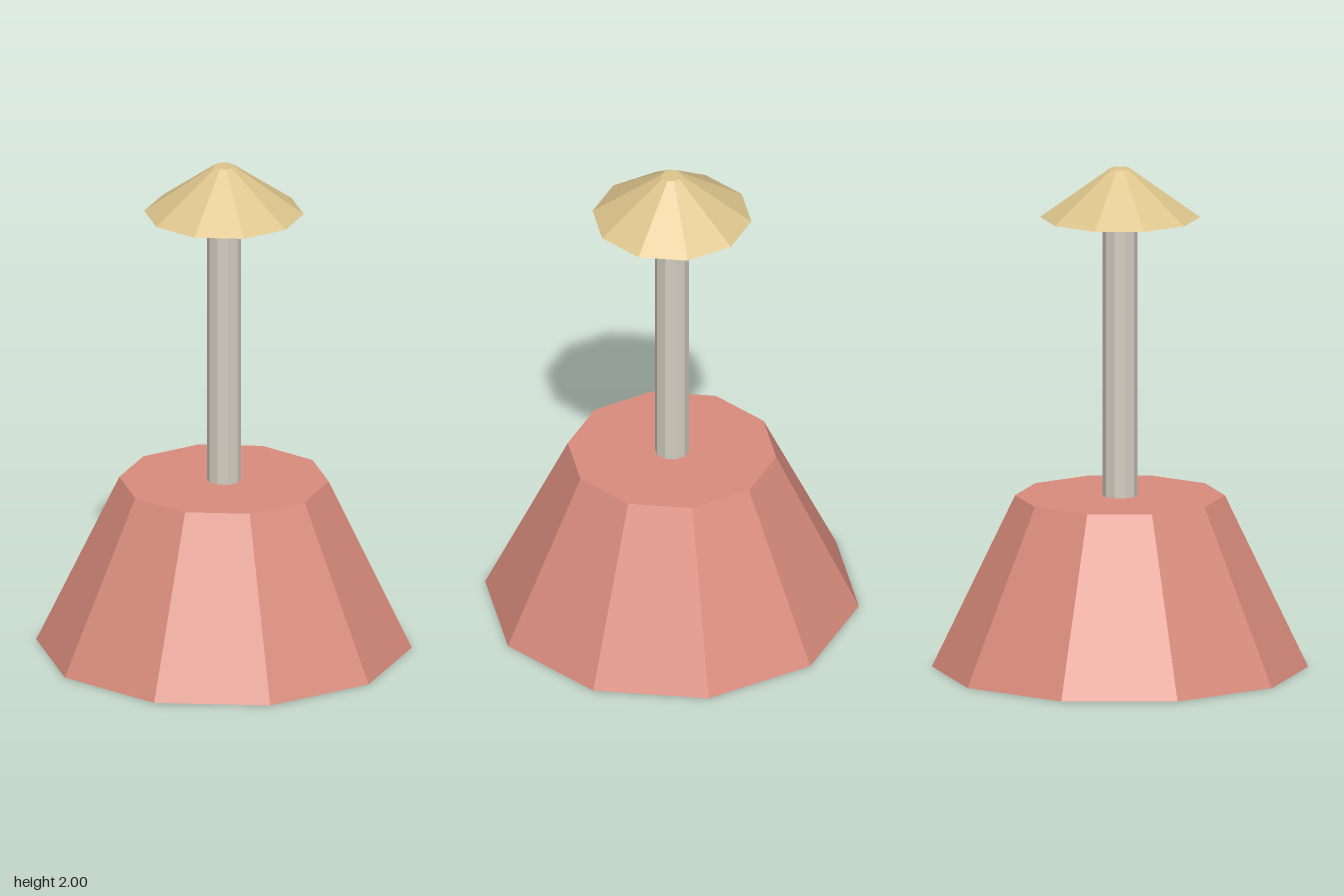
import * as THREE from 'three';

const SIDES = 10;

const paint = (name, color) => {
  const material = new THREE.MeshStandardMaterial({ color, flatShading: true });
  material.name = name;
  return material;
};

// Ten-sided tapered solid between two heights, with a corner facing the front
function taperedPart(name, topRadius, bottomRadius, y0, y1, material) {
  const geometry = new THREE.CylinderGeometry(topRadius, bottomRadius, y1 - y0, SIDES);
  const mesh = new THREE.Mesh(geometry, material);
  mesh.name = name;
  mesh.position.y = (y0 + y1) / 2;
  return mesh;
}

export function createModel() {
  const clay = paint('clay red', 0xd98c7c);
  const stone = paint('pale grey', 0xd2cdbf);
  const sand = paint('sand yellow', 0xdcc48c);

  const model = new THREE.Group();
  model.name = 'cappedPost';
  model.add(
    taperedPart('base', 0.413, 0.741, 0, 0.688, clay),
    taperedPart('pole', 0.068, 0.068, 0.688, 1.805, stone),
    taperedPart('cap', 0.041, 0.315, 1.805, 2, sand),
  );
  return model;
}
